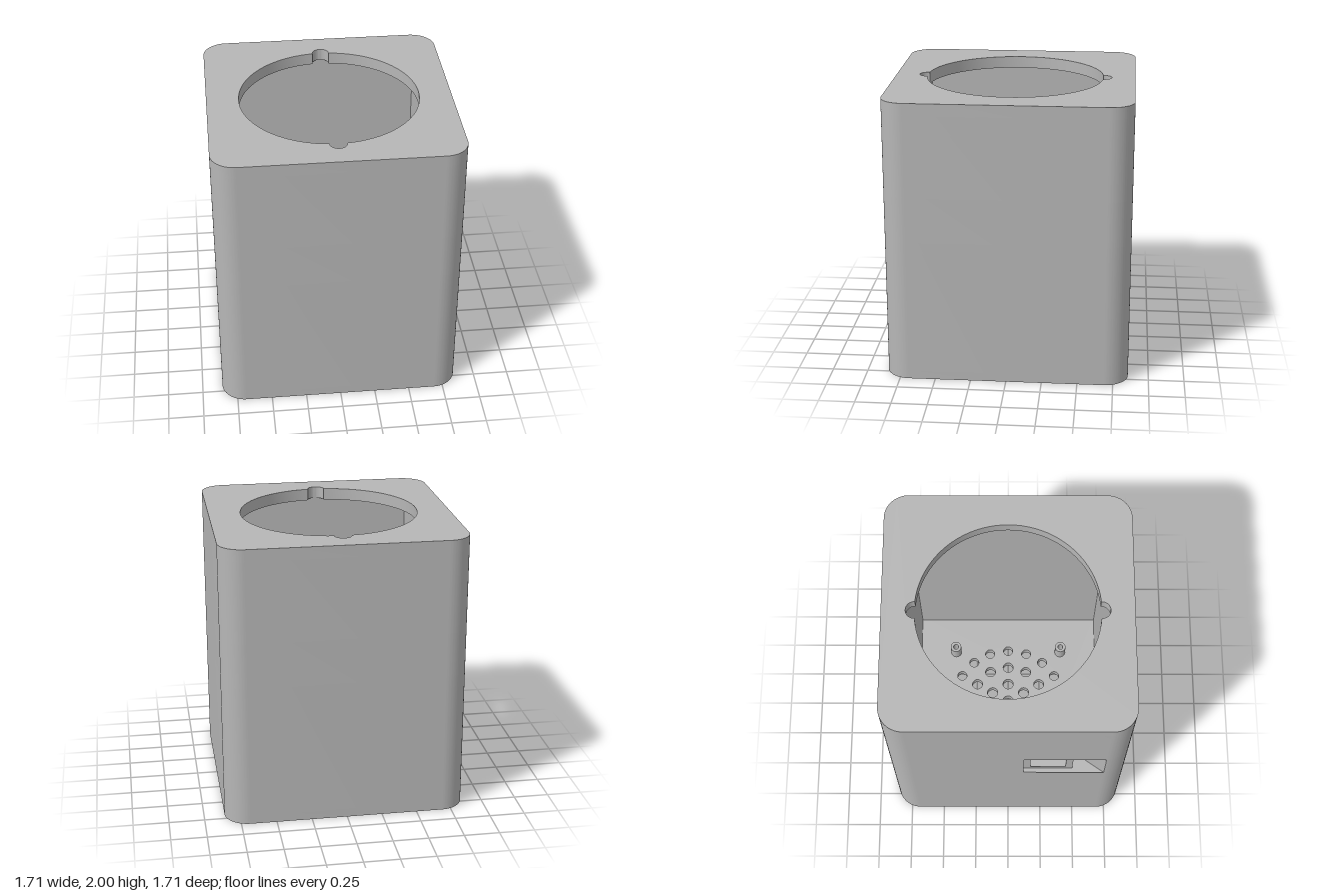
import * as THREE from 'three';
import { toCreasedNormals } from 'three/addons/utils/BufferGeometryUtils.js';

const HALF = 0.855, CORNER = 0.17, CAVITY = 0.70, HEIGHT = 2;
const PLATE = 0.74, PLATE_H = 0.06, LID_H = 0.085;
const WIN = { z0: 0.11, z1: 0.46, y0: 1.02, y1: 1.34, depth: 0.03, inset: 0.05 };

export function createModel() {
  const model = new THREE.Group();
  model.name = 'speakerHousing';
  const grey = new THREE.MeshStandardMaterial({ color: 0xb6b6b6 });
  grey.name = 'grey plastic';

  const add = (name, geometry, x = 0, y = 0, z = 0) => {
    const mesh = new THREE.Mesh(geometry, grey);
    mesh.name = name;
    mesh.position.set(x, y, z);
    model.add(mesh);
    return mesh;
  };
  const box = (name, x0, x1, y0, y1, z0, z1) =>
    add(name, new THREE.BoxGeometry(x1 - x0, y1 - y0, z1 - z0),
      (x0 + x1) / 2, (y0 + y1) / 2, (z0 + z1) / 2);
  // Raises a plan outline from y0 to y1 (plan y becomes -z)
  const raise = (name, shape, y0, y1) => {
    const g = new THREE.ExtrudeGeometry(shape, { depth: y1 - y0, bevelEnabled: false, curveSegments: 20 });
    g.rotateX(-Math.PI / 2);
    return add(name, toCreasedNormals(g, 0.5), 0, y0, 0);
  };
  const circle = (x, y, r) => new THREE.Path().absarc(x, y, r, 0, Math.PI * 2, false);
  const square = (h, Type = THREE.Path) => new Type(
    [[-h, -h], [h, -h], [h, h], [-h, h]].map(([x, y]) => new THREE.Vector2(x, y)));

  // Rounded outline, beginning and ending on the -x side
  const outline = (start, end) => {
    const s = new THREE.Shape(), c = HALF - CORNER;
    s.moveTo(-HALF, start);
    s.absarc(-c, -c, CORNER, Math.PI, Math.PI * 1.5, false);
    s.absarc(c, -c, CORNER, Math.PI * 1.5, Math.PI * 2, false);
    s.absarc(c, c, CORNER, 0, Math.PI / 2, false);
    s.absarc(-c, c, CORNER, Math.PI / 2, Math.PI, false);
    s.lineTo(-HALF, end);
    return s;
  };
  const ring = (hole) => {
    const s = outline(0, 0);
    s.holes.push(hole);
    return s;
  };

  // Shell walls, with a gap at the height of the side port
  const lidBottom = HEIGHT - LID_H;
  raise('bottomRim', ring(square(PLATE + 0.007)), 0, PLATE_H);
  raise('lowerWalls', ring(square(CAVITY)), PLATE_H, WIN.y0);
  raise('upperWalls', ring(square(CAVITY)), WIN.y1, lidBottom);
  const gapped = outline(-WIN.z1, -WIN.z0);
  [[-CAVITY, -WIN.z0], [-CAVITY, CAVITY], [CAVITY, CAVITY], [CAVITY, -CAVITY],
    [-CAVITY, -CAVITY], [-CAVITY, -WIN.z1]].forEach(([x, y]) => gapped.lineTo(x, y));
  gapped.closePath();
  raise('portWalls', gapped, WIN.y0, WIN.y1);

  // Stepped frame set into the side port
  const fx0 = -HALF + WIN.depth, i = WIN.inset;
  box('portFrameBottom', fx0, -CAVITY, WIN.y0, WIN.y0 + i, WIN.z0, WIN.z1);
  box('portFrameTop', fx0, -CAVITY, WIN.y1 - i, WIN.y1, WIN.z0, WIN.z1);
  box('portFrameBack', fx0, -CAVITY, WIN.y0 + i, WIN.y1 - i, WIN.z0, WIN.z0 + i);
  box('portFrameFront', fx0, -CAVITY, WIN.y0 + i, WIN.y1 - i, WIN.z1 - i, WIN.z1);

  // Top with a round opening and two key notches
  const R = 0.63, r = 0.06, a = Math.asin(r / R);
  const opening = new THREE.Path();
  for (const side of [0, 1]) {
    const turn = side * Math.PI;
    opening.absarc(0, 0, R, turn - Math.PI / 2 + a, turn + Math.PI / 2 - a, false);
    opening.absarc(0, side ? -R : R, r, turn, turn + Math.PI, false);
  }
  opening.closePath();
  raise('top', ring(opening), lidBottom, HEIGHT);

  // Base plate with rings of sound holes and corner screw holes
  const plate = square(PLATE, THREE.Shape);
  plate.holes.push(circle(0, 0, 0.043));
  [[6, 0.144, 0.041], [12, 0.285, 0.04], [18, 0.428, 0.037]].forEach(([count, radius, size]) => {
    for (let n = 0; n < count; n++) {
      const t = (n / count) * Math.PI * 2;
      plate.holes.push(circle(radius * Math.cos(t), radius * Math.sin(t), size));
    }
  });
  for (const x of [-0.715, 0.715])
    for (const y of [-0.715, 0.715]) plate.holes.push(circle(x, y, 0.016));
  raise('basePlate', plate, 0, PLATE_H);

  // Hollow screw posts on the base plate
  for (const x of [-0.42, 0.42])
    for (const z of [-0.42, 0.42]) {
      const post = new THREE.Shape().absarc(x, z, 0.042, 0, Math.PI * 2, false);
      post.holes.push(circle(x, z, 0.02));
      raise('screwPost', post, PLATE_H, 0.18);
    }

  // Inner shelf behind the port, with a lip and corner supports
  box('shelf', -CAVITY, -0.40, 0.93, 0.98, -CAVITY, CAVITY);
  box('shelfLip', -0.44, -0.40, 0.98, 1.1, -CAVITY, CAVITY);
  for (const s of [-1, 1]) {
    const z = [0.53 * s, CAVITY * s].sort((p, q) => p - q);
    box('shelfSupport', -CAVITY, -0.29, 0.8, 0.93, z[0], z[1]);
  }

  return model;
}
